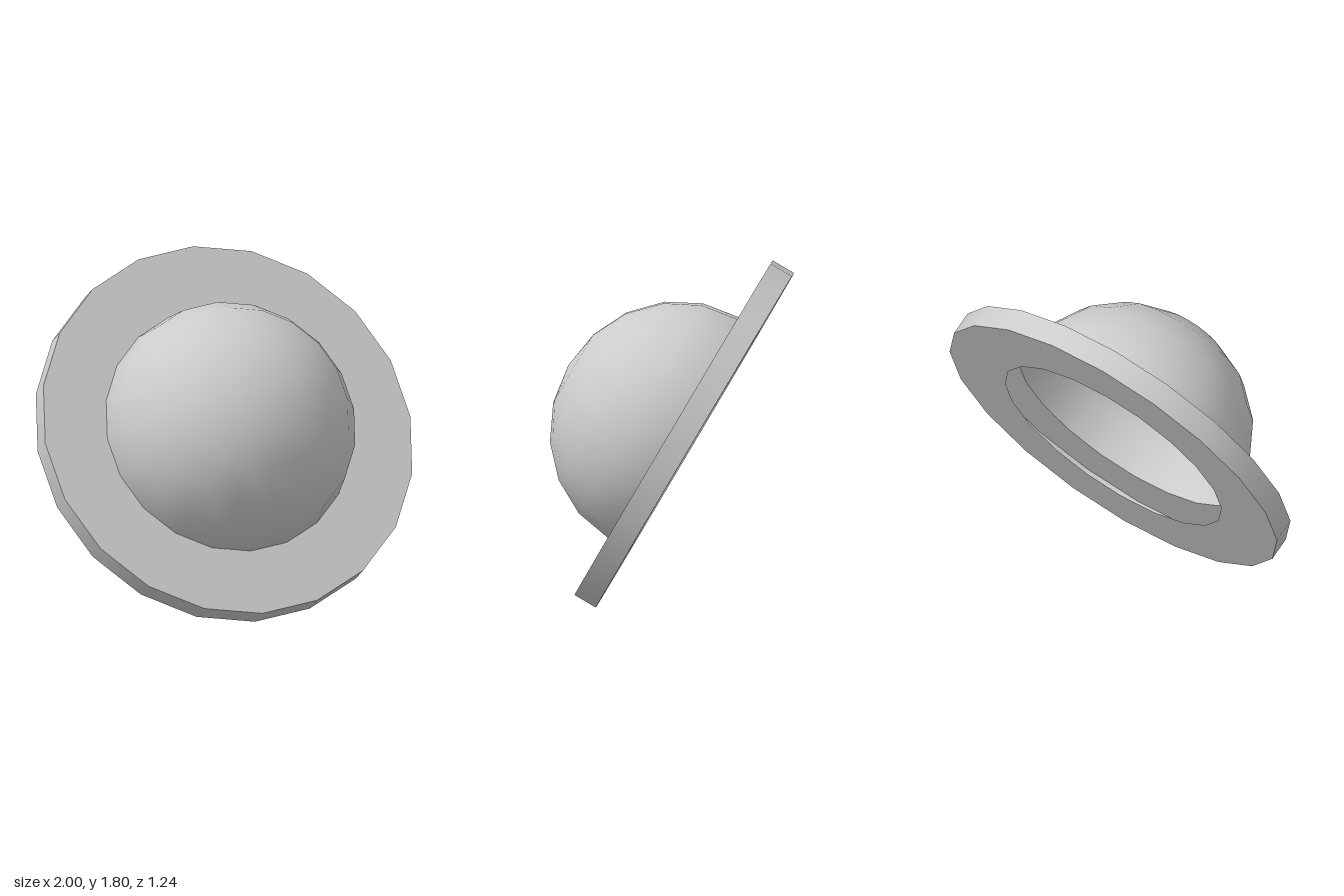
import * as THREE from 'three';

const SIDES = 20;
const THICK = 0.127;
const HOLE = 0.66;
const TILT = Math.PI / 3;

export function createModel() {
  const model = new THREE.Group();
  const material = new THREE.MeshStandardMaterial({ color: 0xcccccc, side: THREE.DoubleSide });

  // Everything is built upright, with the brim's dome side at y = 0, then tilted forward
  const hat = new THREE.Group();
  hat.name = 'tiltedHat';
  hat.rotation.x = TILT;
  hat.position.set(0, Math.sin(TILT) + THICK * Math.cos(TILT), -0.01);
  model.add(hat);

  const add = (name, geometry, parent) => {
    const mesh = new THREE.Mesh(geometry, material);
    mesh.name = name;
    parent.add(mesh);
    return mesh;
  };

  // Hollow brim: two flat rings joined by the outer wall, open towards the hole
  const brim = new THREE.Group();
  brim.name = 'brim';
  hat.add(brim);
  const ring = (turn) => new THREE.RingGeometry(HOLE, 1, SIDES).rotateX(turn);
  add('brimFrontFace', ring(-Math.PI / 2), brim);
  add('brimBackFace', ring(Math.PI / 2), brim).position.y = -THICK;
  add('brimEdge', new THREE.CylinderGeometry(1, 1, THICK, SIDES, 1, true), brim).position.y = -THICK / 2;

  // Thin, slightly flattened half sphere
  const dome = new THREE.SphereGeometry(HOLE, SIDES, 5, 0, Math.PI * 2, 0, Math.PI / 2);
  add('dome', dome.scale(1, 0.95, 1), hat);

  return model;
}
